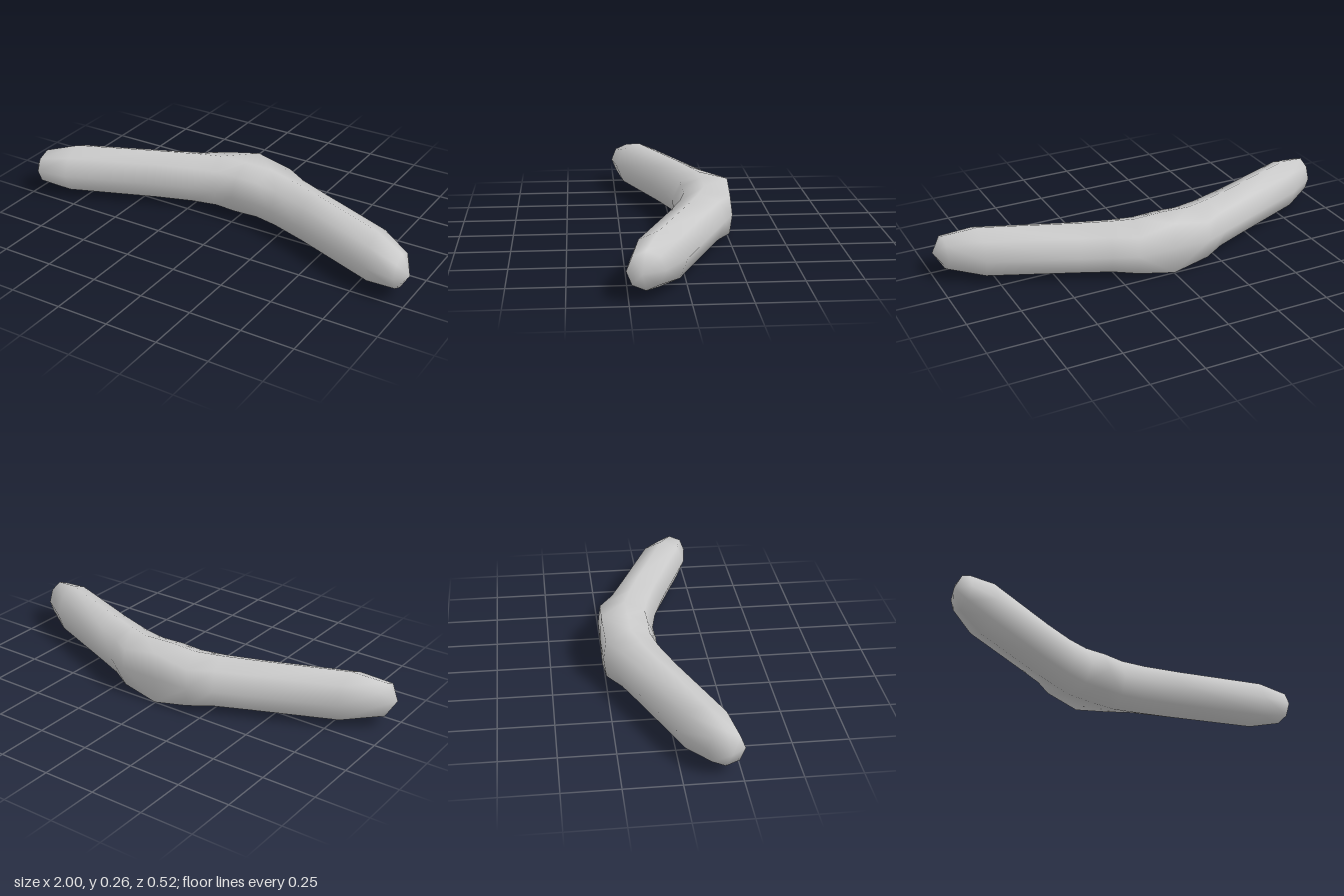
import * as THREE from 'three';

const SIDES = 8;
const MID_Y = 0.13;

// Half of the body, from the elbow to the end of one arm. Each cross-section has
// its inner (front) and outer (back) point, its half height, and how far
// its back corners are pulled out along z and y (0.71 is round).
const HALF = [
  { inner: [0, 0], outer: [0, -0.262], h: 0.13, kz: 0.95, ky: 0.97 },
  { inner: [0.1, -0.004], outer: [0.18, -0.26], h: 0.126, kz: 0.91, ky: 0.72 },
  { inner: [0.22, 0.02], outer: [0.29, -0.214], h: 0.124, kz: 0.74, ky: 0.71 },
  { inner: [0.4, 0.08], outer: [0.42, -0.16], h: 0.123, kz: 0.71, ky: 0.71 },
  { inner: [0.805, 0.238], outer: [0.805, 0], h: 0.12, kz: 0.71, ky: 0.71 },
  { inner: [0.952, 0.26], outer: [0.952, 0.1], h: 0.083, kz: 0.71, ky: 0.71 },
];
const TIP = [1, 0.198];

function sectionPoints(s, side) {
  const points = [];
  for (let i = 0; i < SIDES; i++) {
    const a = (i / SIDES) * Math.PI * 2;
    let c = Math.cos(a);
    let v = Math.sin(a);
    if (i === 3 || i === 5) {
      c = -s.kz;
      v = Math.sign(v) * s.ky;
    }
    const t = (1 - c) / 2;
    points.push(
      side * THREE.MathUtils.lerp(s.inner[0], s.outer[0], t),
      MID_Y + v * s.h,
      THREE.MathUtils.lerp(s.inner[1], s.outer[1], t)
    );
  }
  return points;
}

function bentBodyGeometry() {
  // Mirrored sections run from one arm end to the other
  const rings = [
    ...HALF.slice(1).reverse().map((s) => sectionPoints(s, -1)),
    ...HALF.map((s) => sectionPoints(s, 1)),
  ];
  const positions = rings.flat();
  const index = [];
  const startTip = rings.length * SIDES;
  const endTip = startTip + 1;
  positions.push(-TIP[0], MID_Y, TIP[1], TIP[0], MID_Y, TIP[1]);

  const last = rings.length - 1;
  for (let i = 0; i < SIDES; i++) {
    const j = (i + 1) % SIDES;
    // Skin between sections, with mirrored diagonals on the two arms
    for (let r = 0; r < last; r++) {
      const a = r * SIDES + i;
      const b = (r + 1) * SIDES + i;
      const c = (r + 1) * SIDES + j;
      const d = r * SIDES + j;
      if (r < last / 2) index.push(a, b, c, a, c, d);
      else index.push(a, b, d, b, c, d);
    }
    // Faceted points closing both arms
    index.push(startTip, i, j);
    index.push(last * SIDES + i, endTip, last * SIDES + j);
  }

  const geometry = new THREE.BufferGeometry();
  geometry.setAttribute('position', new THREE.Float32BufferAttribute(positions, 3));
  geometry.setIndex(index);
  geometry.computeVertexNormals();
  return geometry;
}

export function createModel() {
  const group = new THREE.Group();
  group.name = 'bentBar';
  const body = new THREE.Mesh(
    bentBodyGeometry(),
    new THREE.MeshStandardMaterial({ color: 0xcccccc })
  );
  body.name = 'bentBody';
  group.add(body);
  return group;
}
